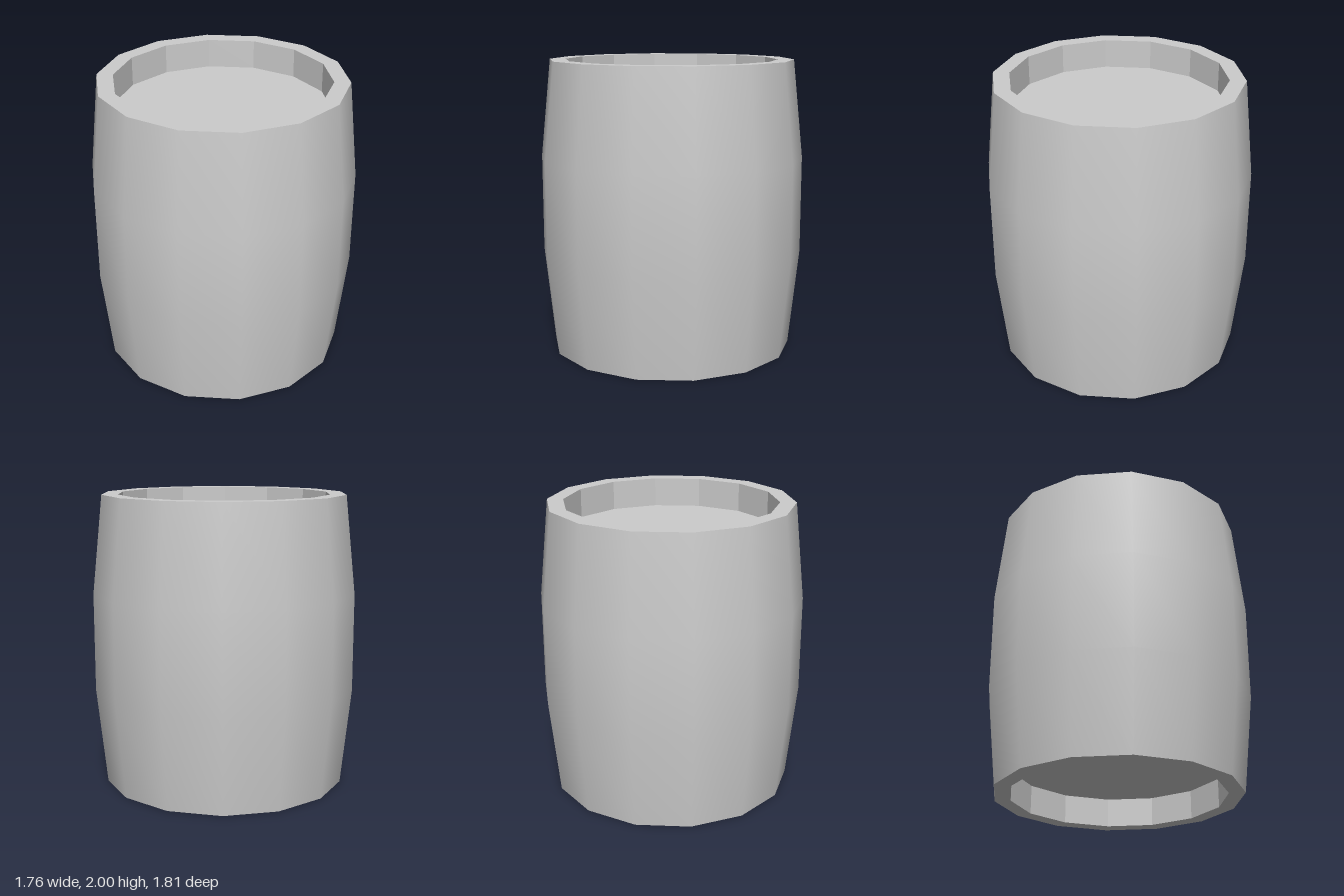
import * as THREE from 'three';

const SIDES = 14;
const RIM = 0.835, BULGE = 0.905, INNER = 0.725, RECESS = 0.2, HEIGHT = 2;

// Revolve a list of [radius, height] points around the y axis
function revolve(name, profile, flatShading) {
  const points = profile.map(([r, y]) => new THREE.Vector2(r, y));
  const material = new THREE.MeshStandardMaterial({ color: 0xcccccc, flatShading });
  const mesh = new THREE.Mesh(new THREE.LatheGeometry(points, SIDES), material);
  mesh.name = name;
  return mesh;
}

export function createModel() {
  const barrel = new THREE.Group();
  barrel.name = 'barrel';

  // Smooth bulging side wall
  barrel.add(revolve('sideWall', [
    [RIM, 0], [BULGE, HEIGHT / 3], [BULGE, HEIGHT * 2 / 3], [RIM, HEIGHT],
  ], false));

  // Faceted rim, recess wall and sunken lid
  barrel.add(revolve('topRimAndLid', [
    [RIM, HEIGHT], [INNER, HEIGHT], [INNER, HEIGHT - RECESS], [0, HEIGHT - RECESS],
  ], true));

  // The same recess at the bottom
  barrel.add(revolve('bottomRimAndBase', [
    [0, RECESS], [INNER, RECESS], [INNER, 0], [RIM, 0],
  ], true));

  return barrel;
}
